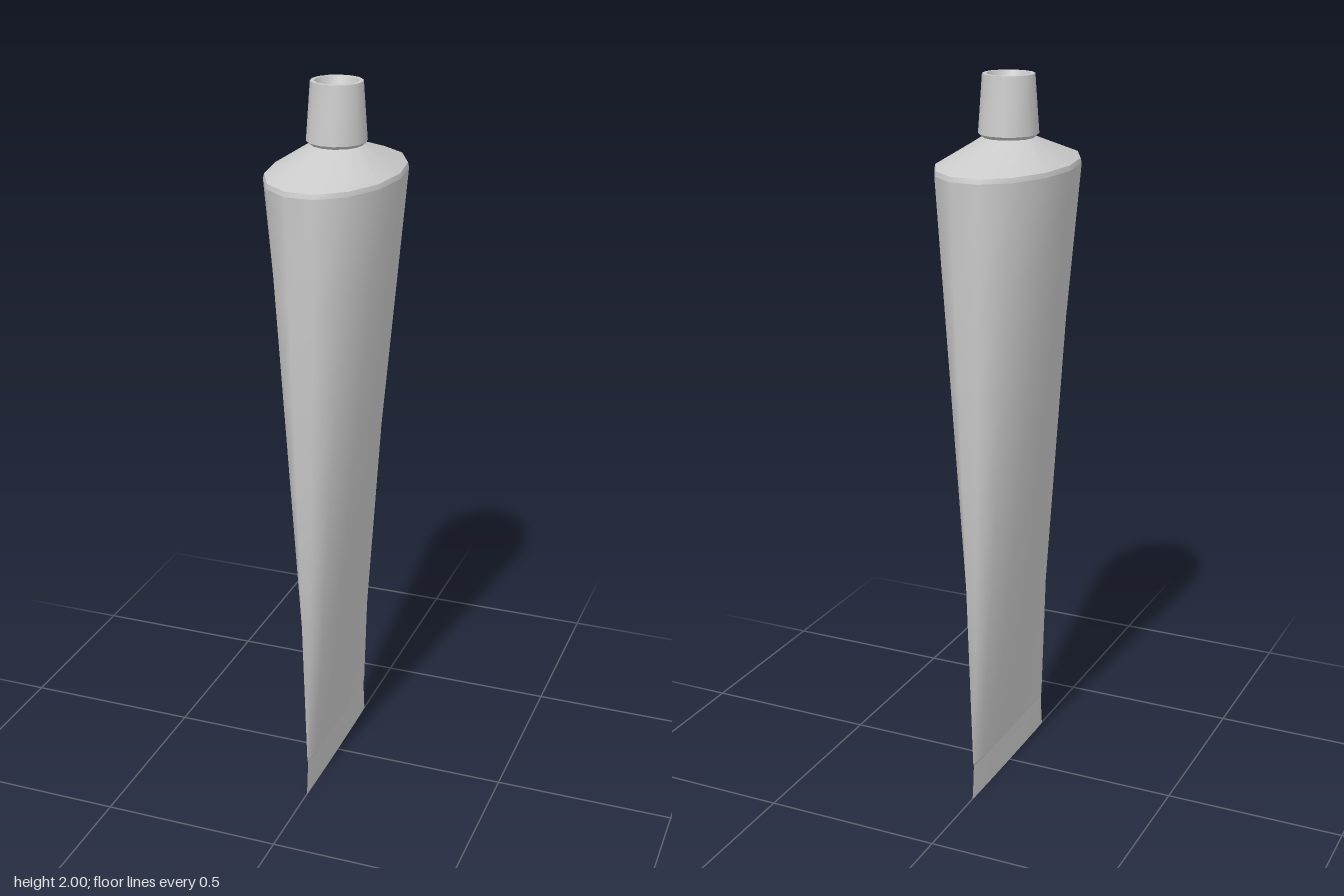
import * as THREE from 'three';

const SIDES = 14;

// Skin of elliptical rings [rx, rz, y], smooth within the section; outward when rings run upward.
function loft(name, rings, material) {
  const pos = [], index = [];
  for (const [rx, rz, y] of rings) {
    for (let i = 0; i < SIDES; i++) {
      const a = (i / SIDES) * Math.PI * 2;
      pos.push(rx * Math.cos(a), y, rz * Math.sin(a));
    }
  }
  for (let r = 0; r < rings.length - 1; r++) {
    for (let i = 0; i < SIDES; i++) {
      const j = (i + 1) % SIDES;
      const a = r * SIDES + i, b = r * SIDES + j, c = a + SIDES, d = b + SIDES;
      index.push(a, c, b, b, c, d);
    }
  }
  const geo = new THREE.BufferGeometry();
  geo.setAttribute('position', new THREE.Float32BufferAttribute(pos, 3));
  geo.setIndex(index);
  geo.computeVertexNormals();
  const mesh = new THREE.Mesh(geo, material);
  mesh.name = name;
  return mesh;
}

// Flat elliptical lid facing up (or down).
function lid(name, rx, rz, y, up, material) {
  const geo = new THREE.CircleGeometry(1, SIDES);
  geo.rotateX(up ? -Math.PI / 2 : Math.PI / 2);
  geo.scale(rx, 1, rz);
  geo.translate(0, y, 0);
  const mesh = new THREE.Mesh(geo, material);
  mesh.name = name;
  return mesh;
}

export function createModel() {
  const group = new THREE.Group();
  group.name = 'squeezeTube';
  const mat = new THREE.MeshStandardMaterial({ color: 0xcccccc, side: THREE.DoubleSide });
  const round = (r, y) => [r, r, y];

  // Flat crimped end, flaring slightly toward the bottom
  group.add(lid('crimpBottom', 0.003, 0.251, 0, false, mat));
  group.add(loft('crimp', [[0.003, 0.251, 0], [0.003, 0.245, 0.05], [0.003, 0.241, 0.1]], mat));
  group.add(loft('crimpStep', [[0.003, 0.241, 0.1], [0.01, 0.242, 0.108]], mat));

  // Tapered body: flat at the bottom, oval at the top
  const body = [];
  for (let i = 0; i <= 6; i++) {
    const t = i / 6;
    body.push([0.01 + 0.165 * t, 0.242 + 0.034 * t, 0.108 + 1.652 * t]);
  }
  group.add(loft('body', body, mat));

  // Bevelled rim and sloping shoulder
  group.add(loft('rim', [[0.175, 0.276, 1.76], [0.172, 0.273, 1.773]], mat));
  group.add(loft('shoulder', [[0.172, 0.273, 1.773], [0.07, 0.07, 1.837]], mat));

  // Nozzle with a shallow recessed mouth
  group.add(loft('nozzleBase', [round(0.07, 1.837), round(0.08, 1.846)], mat));
  group.add(loft('nozzle', [round(0.08, 1.846), round(0.069, 2)], mat));
  group.add(loft('nozzleLip', [round(0.069, 2), round(0.058, 2)], mat));
  group.add(loft('mouthWall', [round(0.058, 2), round(0.052, 1.98)], mat));
  group.add(lid('mouthFloor', 0.052, 0.052, 1.98, true, mat));

  return group;
}
